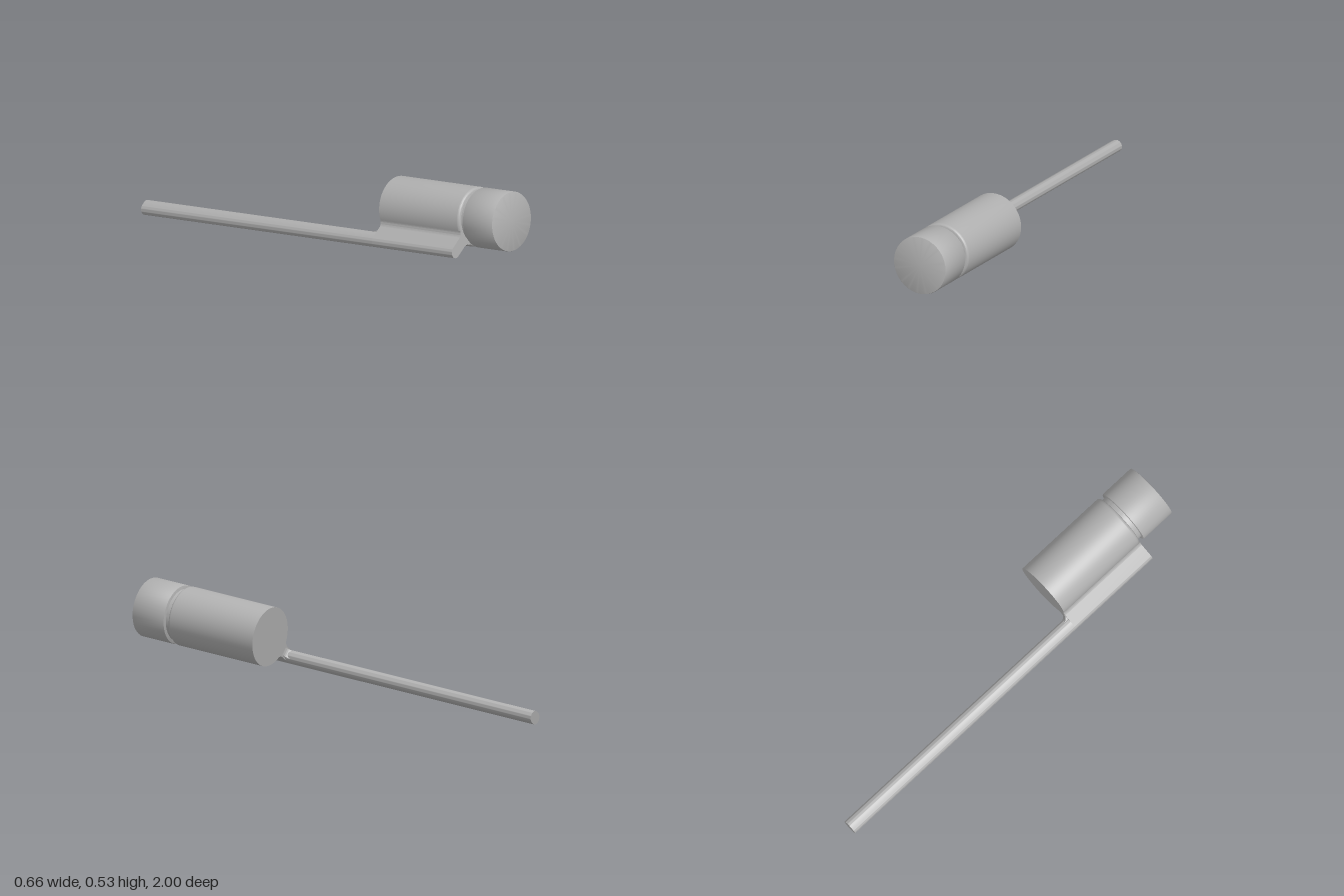
import * as THREE from 'three';
import { toCreasedNormals } from 'three/addons/utils/BufferGeometryUtils.js';

// Local frame: +z runs along the barrel to its front face, +x points from barrel to handle.
const R = 0.137;          // barrel radius
const ROD_X = 0.205;      // handle offset from the barrel axis
const ROD_R = 0.028;      // handle half thickness
const ROD_A = 0.008;      // half length of the handle section's straight sides
const FILLET = 0.03;
const WEB_FRONT = -0.197, BODY_BACK = -0.672, ROD_BACK = -2.045;

export function createModel() {
  const model = new THREE.Group();
  model.name = 'malletModel';
  const grey = new THREE.MeshStandardMaterial({ color: 0xb0b0b0 });
  grey.name = 'plainGrey';

  const add = (name, geometry) => {
    const mesh = new THREE.Mesh(toCreasedNormals(geometry, 0.5), grey);
    mesh.name = name;
    model.add(mesh);
  };
  const lathe = (points) => new THREE.LatheGeometry(
    points.map(([r, z]) => new THREE.Vector2(r, z)), 72).rotateX(Math.PI / 2);
  const prism = (shape, from, to) => new THREE.ExtrudeGeometry(shape, {
    depth: to - from, bevelEnabled: false, curveSegments: 20 }).translate(0, 0, from);

  // Main barrel, with a softly rounded front rim
  const rim = [];
  for (let i = 0; i <= 6; i++) {
    const a = (i / 6) * Math.PI / 2;
    rim.push([R - 0.014 + 0.014 * Math.cos(a), WEB_FRONT - 0.014 + 0.014 * Math.sin(a)]);
  }
  add('barrelBody', lathe([[0, BODY_BACK], [R, BODY_BACK], ...rim, [0, WEB_FRONT]]));

  // Recessed neck and the front cap
  add('neck', lathe([[0.12, WEB_FRONT - 0.005], [0.12, -0.17]]));
  add('frontCap', lathe([[0, -0.176], [R - 0.005, -0.176], [R - 0.0015, -0.1745], [R, -0.171],
    [R, -0.004], [R - 0.0012, -0.0012], [R - 0.004, 0], [0, 0]]));

  // Handle: a slightly elongated round bar
  const bar = new THREE.Shape();
  bar.absarc(ROD_X + ROD_A, 0, ROD_R, -Math.PI / 2, Math.PI / 2, false);
  bar.absarc(ROD_X - ROD_A, 0, ROD_R, Math.PI / 2, Math.PI * 1.5, false);
  add('handle', prism(bar, ROD_BACK, BODY_BACK));

  // Web joining handle and barrel, flared by fillets tangent to both
  const fy = ROD_R + FILLET;
  const fx = Math.sqrt((R + FILLET) ** 2 - fy ** 2);
  const a0 = Math.atan2(fy, fx);
  const web = new THREE.Shape();
  web.moveTo(0.1, -0.04);
  web.absarc(fx, -fy, FILLET, Math.PI - a0, Math.PI / 2, true);
  web.absarc(ROD_X + ROD_A, 0, ROD_R, -Math.PI / 2, Math.PI / 2, false);
  web.absarc(fx, fy, FILLET, Math.PI * 1.5, Math.PI + a0, true);
  web.lineTo(0.1, 0.04);
  web.closePath();
  add('handleWeb', prism(web, BODY_BACK, WEB_FRONT));

  // Small fillet between the barrel's back face and the handle
  const r = 0.028, top = ROD_X - ROD_A - ROD_R + 0.006;
  const corner = new THREE.Shape();
  corner.moveTo(top, 0);
  corner.lineTo(top - r, 0);
  corner.absarc(top - r, r, r, -Math.PI / 2, 0, false);
  corner.closePath();
  // extruded along +z, then turned so shape y runs backwards and depth runs across
  add('handleFillet', prism(corner, -0.02, 0.02).rotateX(-Math.PI / 2).translate(0, 0, BODY_BACK));

  // Tilt the tool into its resting pose
  const axis = new THREE.Vector3(0.157, 0.12, 0.98).normalize();
  const out = new THREE.Vector3(-0.167, -0.112, 0.04);
  out.addScaledVector(axis, -out.dot(axis)).normalize();
  const side = new THREE.Vector3().crossVectors(axis, out);
  model.quaternion.setFromRotationMatrix(new THREE.Matrix4().makeBasis(out, side, axis));
  model.position.set(0.192, 0.394, 0.973);

  const root = new THREE.Group();
  root.name = 'mallet';
  root.add(model);
  return root;
}
